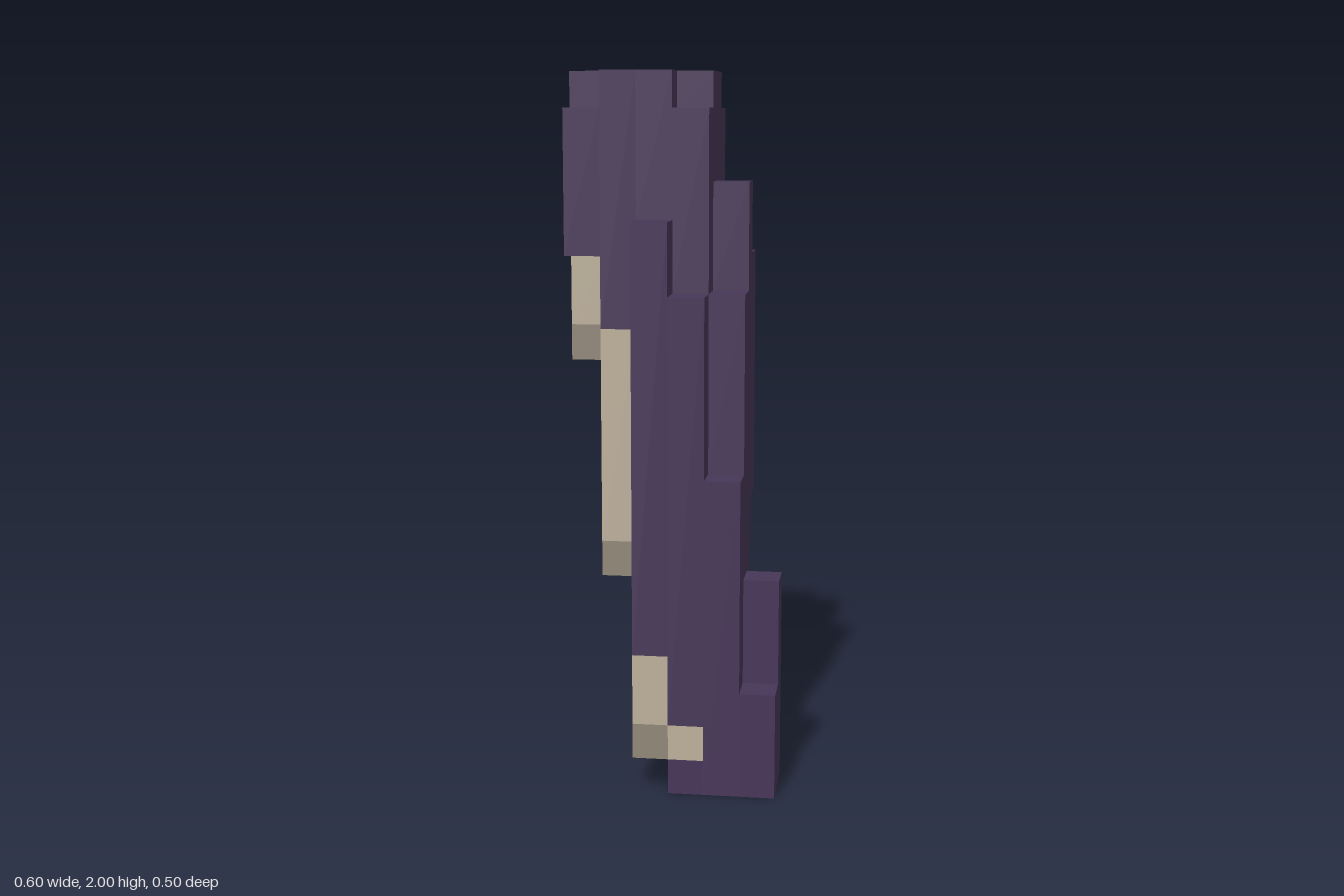
import * as THREE from 'three';
import { mergeGeometries } from 'three/addons/utils/BufferGeometryUtils.js';

const U = 0.1; // block size

// Leaning trunk: for each x column, [bottom, top] in blocks for rows from back to front
const columns = [
  [[17, 19], [14, 20], [12, 20], [15, 19], null],
  [[14, 20], [10, 20], [8, 20], [6, 20], null],
  [[12, 20], [7, 20], [4, 20], [1, 20], [1, 16]],
  [[13, 19], [6, 20], [1, 20], [0, 19], [0, 14]],
  [null, [8, 15], [0, 17], [0, 14], [0, 9]],
  [null, null, null, [0, 6], [0, 3]],
];

// Bare patches: column, row, side, bottom, top, dark lower rim
const patches = [
  [0, 2, 'left', 12, 18, true], [1, 3, 'left', 6, 13, true], [1, 2, 'left', 9, 12, false],
  [2, 3, 'left', 1, 6, true], [2, 4, 'left', 1, 4, true],
  [0, 2, 'front', 12, 15, true], [1, 3, 'front', 6, 13, true],
  [2, 4, 'front', 1, 4, true], [3, 4, 'front', 1, 2, false],
  [0, 2, 'back', 12, 14, true], [1, 2, 'back', 9, 10, false],
  [1, 3, 'back', 6, 8, true], [2, 3, 'back', 1, 4, true],
];

// Side directions: x step, z step, turn about y ("left" is the -x side here)
const sides = {
  front: [0, 1, 0], back: [0, -1, Math.PI],
  right: [1, 0, Math.PI / 2], left: [-1, 0, -Math.PI / 2],
};

function filled(i, j, k) {
  const c = columns[i]?.[k];
  return !!c && j >= c[0] && j < c[1];
}

function paintAt(i, j, k, side) {
  for (const [pi, pk, ps, y0, y1, rim] of patches) {
    if (pi === i && pk === k && ps === side && j >= y0 && j < y1) {
      return rim && j === y0 ? 'darkRim' : 'bareWood';
    }
  }
  return 'bark';
}

export function createModel() {
  const group = new THREE.Group();
  group.name = 'blockTrunk';
  const materials = {
    bark: new THREE.MeshStandardMaterial({ name: 'purple bark', color: 0x473658 }),
    bareWood: new THREE.MeshStandardMaterial({ name: 'pale wood', color: 0xbdb09b }),
    darkRim: new THREE.MeshStandardMaterial({ name: 'dark wood', color: 0x918778 }),
  };
  const faces = { bark: [], bareWood: [], darkRim: [] };

  columns.forEach((rows, i) => rows.forEach((range, k) => {
    if (!range) return;
    const [y0, y1] = range;
    const x = (i - 2.5) * U, z = (k - 2) * U;

    // Top and underside of the column
    faces.bark.push(
      new THREE.PlaneGeometry(U, U).rotateX(-Math.PI / 2).translate(x, y1 * U, z),
      new THREE.PlaneGeometry(U, U).rotateX(Math.PI / 2).translate(x, y0 * U, z),
    );

    // Exposed sides, joined into upright strips of one colour
    for (const [side, [dx, dz, turn]] of Object.entries(sides)) {
      const kind = (j) => (j >= y1 || filled(i + dx, j, k + dz) ? null : paintAt(i, j, k, side));
      let start = y0;
      for (let j = y0 + 1; j <= y1; j++) {
        const paint = kind(start);
        if (kind(j) === paint && j < y1) continue;
        if (paint) {
          faces[paint].push(new THREE.PlaneGeometry(U, (j - start) * U).rotateY(turn)
            .translate(x + dx * U / 2, (start + j) * U / 2, z + dz * U / 2));
        }
        start = j;
      }
    }
  }));

  for (const [name, list] of Object.entries(faces)) {
    const mesh = new THREE.Mesh(mergeGeometries(list), materials[name]);
    mesh.name = name;
    group.add(mesh);
  }
  return group;
}
